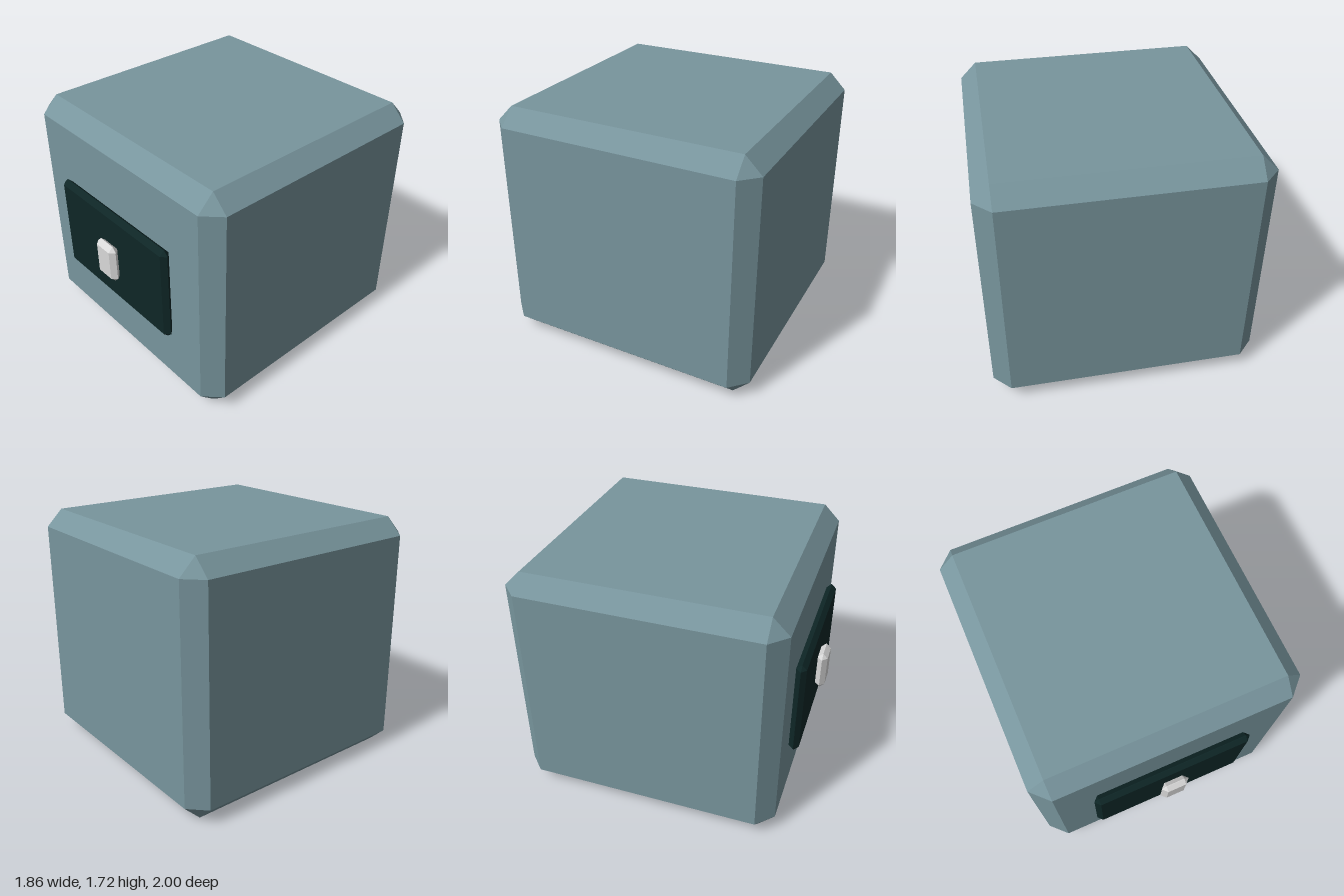
import * as THREE from 'three';
import { ConvexGeometry } from 'three/addons/geometries/ConvexGeometry.js';

// Box with flat 45 degree bevels on every edge and triangular corners
function chamferedBox(w, h, d, c) {
  const points = [];
  const [x, y, z] = [w / 2, h / 2, d / 2];
  for (const sx of [-1, 1]) for (const sy of [-1, 1]) for (const sz of [-1, 1]) {
    points.push(
      new THREE.Vector3(sx * x, sy * (y - c), sz * (z - c)),
      new THREE.Vector3(sx * (x - c), sy * y, sz * (z - c)),
      new THREE.Vector3(sx * (x - c), sy * (y - c), sz * z),
    );
  }
  return new ConvexGeometry(points);
}

export function createModel() {
  const group = new THREE.Group();
  const material = (name, color) => {
    const m = new THREE.MeshStandardMaterial({ color });
    m.name = name;
    return m;
  };
  const add = (name, size, chamfer, position, mat) => {
    const mesh = new THREE.Mesh(chamferedBox(...size, chamfer), mat);
    mesh.name = name;
    mesh.position.set(...position);
    group.add(mesh);
  };

  // Main block
  add('body', [1.86, 1.72, 1.86], 0.115, [0, 0.86, -0.07], material('blueGrey', 0x78959d));
  // Dark plate on the front face
  add('frontPanel', [1.14, 0.715, 0.07], 0.033, [0, 0.863, 0.897], material('darkTeal', 0x0e2626));
  // Small raised button on the plate
  add('button', [0.2, 0.285, 0.07], 0.033, [0, 0.863, 0.965], material('lightGrey', 0xd8d8d8));

  return group;
}
